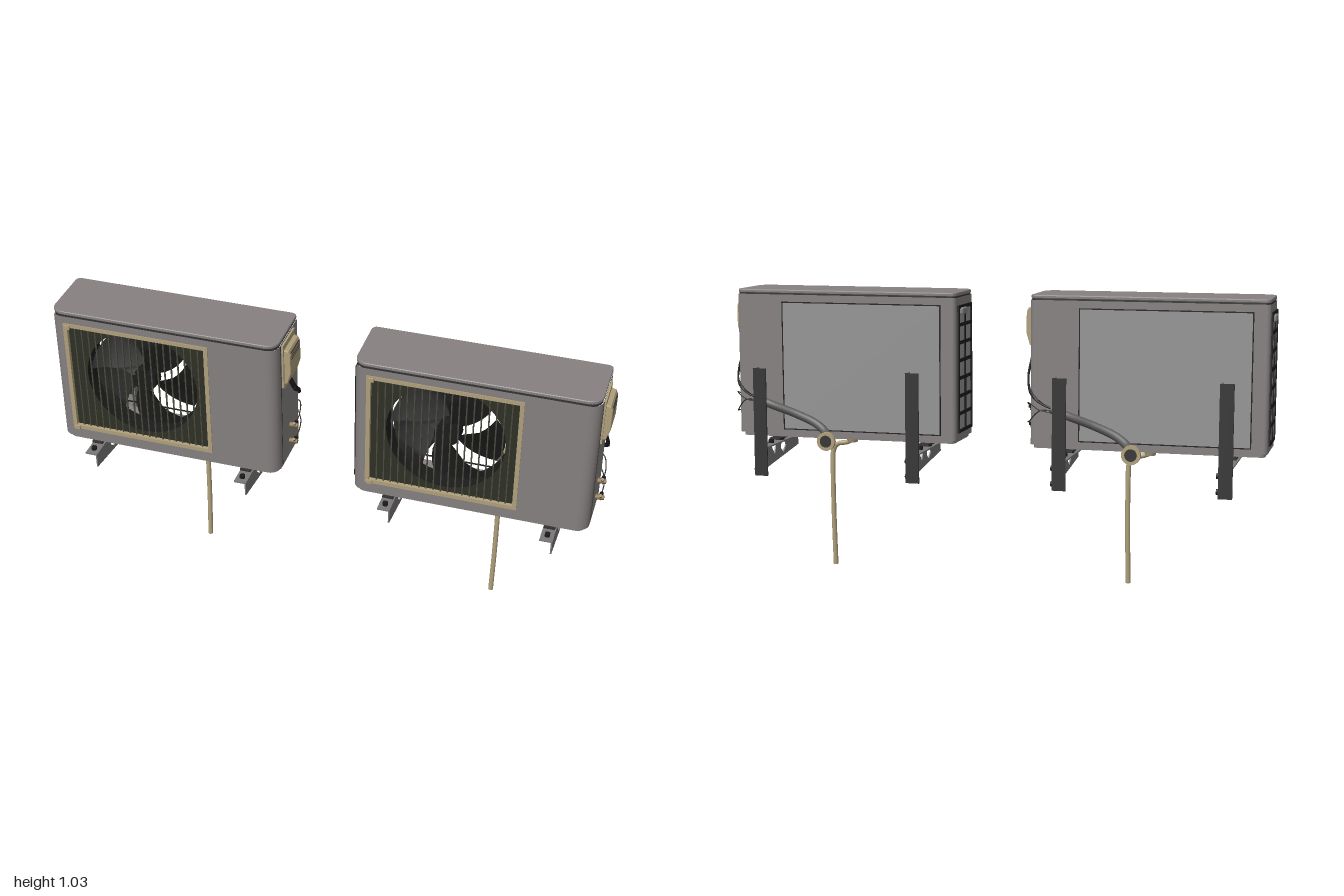
import * as THREE from 'three';
import { RoundedBoxGeometry } from 'three/addons/geometries/RoundedBoxGeometry.js';

const mat = (name, color, double = false) => {
  const m = new THREE.MeshStandardMaterial({ color });
  m.name = name;
  if (double) m.side = THREE.DoubleSide;
  return m;
};
const V = (x, y, z) => new THREE.Vector3(x, y, z);

export function createModel() {
  const M = {
    body: mat('casingGrey', 0x868080),
    coil: mat('coilGrey', 0x949494),
    tan: mat('beige', 0xb0a07c),
    black: mat('black', 0x1c1c1c, true),
    olive: mat('darkOlive', 0x2e3027, true),
    slat: mat('slatOlive', 0x4c4b3c),
    bracket: mat('bracketGrey', 0x7a7777, true),
    dark: mat('darkMetal', 0x333333, true),
    pipe: mat('insulationGrey', 0x5e5c5c),
    brass: mat('brass', 0x85704a),
  };

  const add = (g, name, geo, m, x = 0, y = 0, z = 0) => {
    const mesh = new THREE.Mesh(geo, m);
    mesh.name = name;
    mesh.position.set(x, y, z);
    g.add(mesh);
    return mesh;
  };
  // box given by its min and max corners
  const box = (g, name, m, x0, x1, y0, y1, z0, z1) =>
    add(g, name, new THREE.BoxGeometry(x1 - x0, y1 - y0, z1 - z0), m, (x0 + x1) / 2, (y0 + y1) / 2, (z0 + z1) / 2);
  const tube = (g, name, m, r, pts) =>
    add(g, name, new THREE.TubeGeometry(new THREE.CatmullRomCurve3(pts.map(p => V(...p))), 40, r, 10), m);
  const poly = pts => new THREE.Shape(pts.map(p => new THREE.Vector2(...p)));
  const rect = (x0, x1, y0, y1) => poly([[x0, y0], [x1, y0], [x1, y1], [x0, y1]]);
  const frame = (x0, x1, y0, y1, w, depth) => {
    const s = rect(x0, x1, y0, y1);
    s.holes.push(rect(x0 + w, x1 - w, y0 + w, y1 - w));
    return new THREE.ExtrudeGeometry(s, { depth, bevelEnabled: false });
  };

  // plan outline running front-left, left, back, right, front-right; [x, z]
  const outline = (hx, zb, zf, rf, rb) => {
    const pts = [];
    const arc = (cx, cz, r, a0) => {
      for (let i = 0; i <= 6; i++) {
        const a = a0 + (i / 6) * Math.PI / 2;
        pts.push([cx + r * Math.cos(a), cz + r * Math.sin(a)]);
      }
    };
    arc(-hx + rf, zf - rf, rf, Math.PI / 2);
    arc(-hx + rb, zb + rb, rb, Math.PI);
    arc(hx - rb, zb + rb, rb, Math.PI * 1.5);
    arc(hx - rf, zf - rf, rf, 0);
    return pts;
  };
  const slab = (pts, h, bevel) => new THREE.ExtrudeGeometry(poly(pts.map(([x, z]) => [x, -z])), {
    depth: h, bevelEnabled: bevel > 0, bevelSize: bevel, bevelThickness: bevel, bevelSegments: 3,
  }).rotateX(-Math.PI / 2);
  const wall = (pts, y0, y1) => {
    const pos = [], idx = [];
    pts.forEach(([x, z], i) => {
      pos.push(x, y0, z, x, y1, z);
      if (i) idx.push(2 * i, 2 * i - 2, 2 * i - 1, 2 * i, 2 * i - 1, 2 * i + 1);
    });
    const geo = new THREE.BufferGeometry();
    geo.setAttribute('position', new THREE.Float32BufferAttribute(pos, 3));
    geo.setIndex(idx);
    geo.computeVertexNormals();
    return geo;
  };

  const casing = g => {
    add(g, 'casingWalls', wall(outline(0.42, -0.08, 0.16, 0.04, 0.015), 0.5, 1.015), M.body);
    add(g, 'base', slab(outline(0.41, -0.07, 0.15, 0.035, 0.015), 0.02, 0), M.body, 0, 0.487);
    add(g, 'lidSeam', slab(outline(0.417, -0.077, 0.157, 0.04, 0.015), 0.009, 0), M.dark, 0, 1.012);
    add(g, 'lid', slab(outline(0.416, -0.074, 0.154, 0.04, 0.015), 0.006, 0.004), M.body, 0, 1.023);
    const front = rect(-0.38, 0.38, 0.5, 1.015);
    front.holes.push(rect(-0.365, 0.16, 0.545, 0.98));
    add(g, 'frontPanel', new THREE.ShapeGeometry(front), M.body, 0, 0, 0.16);
    add(g, 'rearCoil', new THREE.PlaneGeometry(0.6, 0.465).rotateY(Math.PI), M.coil, -0.06, 0.7525, -0.082);
    add(g, 'rearCoilEdge', frame(-0.364, 0.244, 0.516, 0.989, 0.004, 0.004), M.black, 0, 0, -0.083);
    // open lattice over the coil on the left-hand end
    add(g, 'sideCoil', new THREE.PlaneGeometry(0.16, 0.45).rotateY(-Math.PI / 2), M.coil, -0.4215, 0.755, 0.03);
    for (let i = 0; i <= 7; i++) {
      const y = 0.53 + i * 0.0643;
      box(g, 'sideGuardRail', M.black, -0.426, -0.42, y - 0.006, y + 0.006, -0.055, 0.115);
    }
    for (const z of [-0.05, 0.03, 0.11]) box(g, 'sideGuardPost', M.black, -0.426, -0.42, 0.525, 0.985, z - 0.006, z + 0.006);
    add(g, 'sideHandle', new RoundedBoxGeometry(0.016, 0.025, 0.06, 2, 0.006), M.body, -0.427, 0.965, 0);
    box(g, 'sideSeam', M.dark, 0.418, 0.4215, 0.51, 1.01, 0.112, 0.115);
  };

  const grilleAndFan = g => {
    add(g, 'grilleFrame', frame(-0.374, 0.169, 0.537, 0.988, 0.015, 0.014), M.tan, 0, 0, 0.149);
    for (const y of [0.545, 0.975]) box(g, 'frameClip', M.tan, -0.367, -0.347, y - 0.007, y + 0.007, 0.16, 0.17);
    const fx = -0.098, fy = 0.77, R = 0.21;
    const shroud = rect(-0.37, 0.165, 0.54, 0.985);
    shroud.holes.push(new THREE.Path().absarc(fx, fy, R, 0, Math.PI * 2, true));
    add(g, 'fanShroud', new THREE.ShapeGeometry(shroud, 24), M.olive, 0, 0, 0.135);
    add(g, 'fanRing', new THREE.CylinderGeometry(R, R, 0.08, 48, 1, true).rotateX(Math.PI / 2), M.black, fx, fy, 0.095);
    for (let i = 1; i < 20; i++) {
      const x = -0.36 + i * 0.515 / 20;
      box(g, 'grilleBar', M.slat, x - 0.0022, x + 0.0022, 0.545, 0.98, 0.15, 0.155);
    }

    // five broad swept blades with slim gaps
    const fan = new THREE.Group();
    fan.name = 'fan';
    fan.position.set(fx, fy, 0.095);
    const edge = (a, r) => [r * Math.cos(a + 3 * (r - 0.04)), r * Math.sin(a + 3 * (r - 0.04))];
    const blade = [];
    for (let i = 0; i <= 6; i++) blade.push(edge(0, 0.04 + i * 0.0268));
    for (let i = 1; i < 8; i++) blade.push(edge(i * 1.13 / 8, 0.2008));
    for (let i = 6; i >= 0; i--) blade.push(edge(1.13, 0.04 + i * 0.0268));
    const bladeGeo = new THREE.ShapeGeometry(poly(blade));
    const p = bladeGeo.attributes.position;
    for (let i = 0; i < p.count; i++) {
      const x = p.getX(i), y = p.getY(i), r = Math.hypot(x, y);
      p.setZ(i, (Math.atan2(y, x) - 3 * (r - 0.04) - 0.565) * 0.05);
    }
    bladeGeo.computeVertexNormals();
    for (let i = 0; i < 5; i++) add(fan, 'fanBlade', bladeGeo, M.black).rotation.z = 0.2 + i * Math.PI * 0.4;
    add(fan, 'fanHub', new THREE.CylinderGeometry(0.045, 0.048, 0.045, 24).rotateX(Math.PI / 2), M.black);
    g.add(fan);
  };

  const sideFittings = g => {
    // terminal cover
    const plate = poly([[-0.105, 0.835], [-0.09, 0.825], [0.005, 0.825], [0.022, 0.84], [0.022, 1.008], [-0.105, 1.008]]);
    add(g, 'coverPlate', new THREE.ExtrudeGeometry(plate, { depth: 0.008, bevelEnabled: false }).rotateY(Math.PI / 2), M.tan, 0.419);
    const bump = poly([[0.42, 0.845], [0.436, 0.852], [0.447, 0.89], [0.447, 0.965], [0.44, 0.98], [0.42, 0.985]]);
    add(g, 'terminalCover', new THREE.ExtrudeGeometry(bump,
      { depth: 0.1, bevelSize: 0.003, bevelThickness: 0.006, bevelSegments: 3 }), M.tan, 0, 0, -0.01);
    for (let i = 0; i < 4; i++) box(g, 'coverLouvre', M.dark, 0.447, 0.4505, 0.944 + i * 0.009, 0.947 + i * 0.009, -0.002, 0.085);
    // cables
    for (let i = 0; i < 3; i++) {
      const d = i * 0.011;
      tube(g, 'cable', M.black, 0.0032, [[0.432, 0.845, 0.065 - d], [0.44, 0.79, 0.035 - d], [0.436, 0.73 + d / 2, -0.04],
        [0.41, 0.68 + d / 2, -0.1], [0.36, 0.65, -0.128 + d / 3], [0.29, 0.63, -0.135]]);
    }
    // service valves with their thin pipes
    for (const [y, z] of [[0.625, 0.025], [0.56, 0.032]]) {
      add(g, 'valveBody', new THREE.CylinderGeometry(0.008, 0.01, 0.03, 12).rotateZ(-Math.PI / 2), M.brass, 0.435, y, z);
      add(g, 'valveCap', new THREE.CylinderGeometry(0.006, 0.006, 0.035, 6).rotateX(0.6), M.brass, 0.438, y, z);
      add(g, 'valveNut', new THREE.CylinderGeometry(0.008, 0.008, 0.012, 6).rotateX(Math.PI / 2), M.black, 0.438, y, z - 0.017);
      tube(g, 'valvePipe', M.dark, 0.002, [[0.438, y, z - 0.01], [0.438, y + 0.015, -0.03], [0.42, y + 0.025, -0.09],
        [0.37, 0.63, -0.125], [0.29, 0.625, -0.135]]);
    }
    // insulated line running behind the casing into the wall
    tube(g, 'insulatedPipe', M.pipe, 0.015, [[0.33, 0.637, -0.133], [0.27, 0.615, -0.133], [0.18, 0.58, -0.113],
      [0.1, 0.545, -0.113], [0.055, 0.515, -0.135], [0.035, 0.5, -0.195]]);
    add(g, 'wallFlange', new THREE.CylinderGeometry(0.034, 0.034, 0.014, 24).rotateX(Math.PI / 2), M.tan, 0.033, 0.498, -0.197);
    add(g, 'flangeOpening', new THREE.CircleGeometry(0.022, 24).rotateY(Math.PI), M.dark, 0.033, 0.498, -0.2045);
    // drain
    add(g, 'drainCup', new THREE.CylinderGeometry(0.024, 0.018, 0.018, 16), M.tan, -0.005, 0.48, -0.025);
    tube(g, 'drainHose', M.tan, 0.009, [[-0.005, 0.478, -0.025], [0.02, 0.468, -0.025], [0.053, 0.462, -0.025],
      [0.07, 0.44, -0.025], [0.073, 0.38, -0.027], [0.073, 0.2, -0.025], [0.07, 0.002, -0.02]]);
  };

  // wall bracket: pierced tapering arm, upright, feet and bolts
  const bracket = (g, xc) => {
    const b = new THREE.Group();
    b.name = 'wallBracket';
    b.position.x = xc;
    g.add(b);
    // shape x is -z
    const arm = poly([[-0.208, 0.412], [0.195, 0.36], [0.195, 0.465], [-0.208, 0.465]]);
    arm.holes.push(
      poly([[-0.088, 0.43], [-0.072, 0.46], [-0.045, 0.458], [-0.032, 0.425], [-0.06, 0.405]]),
      poly([[0.008, 0.45], [0.06, 0.45], [0.025, 0.41]]),
      poly([[0.098, 0.415], [0.118, 0.45], [0.15, 0.412], [0.145, 0.396], [0.11, 0.395]]));
    add(b, 'armWeb', new THREE.ExtrudeGeometry(arm, { depth: 0.005, bevelEnabled: false }).rotateY(Math.PI / 2), M.bracket, 0.018);
    box(b, 'armFlange', M.bracket, -0.023, 0.023, 0.461, 0.466, -0.195, 0.208);
    box(b, 'uprightWeb', M.bracket, 0.018, 0.024, 0.36, 0.755, -0.195, -0.155);
    box(b, 'uprightFlange', M.dark, -0.025, 0.024, 0.36, 0.755, -0.199, -0.193);
    box(b, 'footRail', M.dark, -0.02, 0.02, 0.473, 0.48, -0.07, 0.15);
    for (const z of [-0.02, 0.1]) box(b, 'footPad', M.black, -0.015, 0.015, 0.465, 0.49, z - 0.01, z + 0.01);
    for (const z of [-0.1, 0.18])
      add(b, 'armBolt', new THREE.CylinderGeometry(0.01, 0.01, 0.014, 6), M.black, 0, 0.472, z);
    for (const y of [0.38, 0.435])
      add(b, 'uprightBolt', new THREE.CylinderGeometry(0.01, 0.01, 0.01, 8).rotateZ(Math.PI / 2), M.black, 0.028, y, -0.173);
    for (const y of [0.4, 0.72])
      add(b, 'wallBolt', new THREE.CylinderGeometry(0.009, 0.009, 0.01, 6).rotateX(Math.PI / 2), M.black, 0, y, -0.19);
  };

  const model = new THREE.Group();
  model.name = 'outdoorUnits';
  for (const x of [-0.565, 0.55]) {
    const unit = new THREE.Group();
    unit.name = 'outdoorUnit';
    unit.position.x = x;
    casing(unit);
    grilleAndFan(unit);
    sideFittings(unit);
    for (const xc of [-0.292, 0.288]) bracket(unit, xc);
    model.add(unit);
  }
  return model;
}
